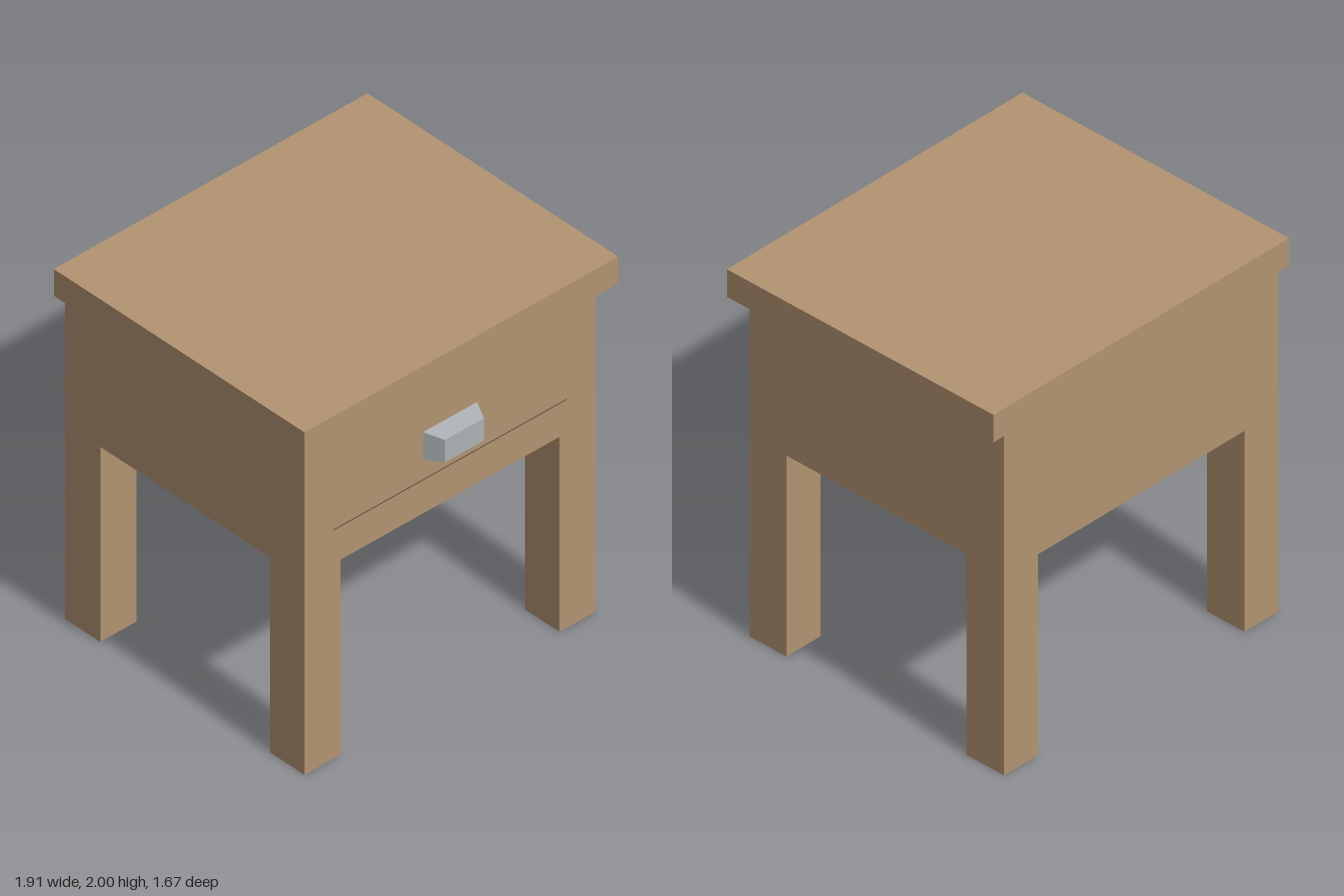
import * as THREE from 'three';

export function createModel() {
  const wood = new THREE.MeshStandardMaterial({ name: 'wood', color: 0xb29471 });
  const metal = new THREE.MeshStandardMaterial({ name: 'metal', color: 0xacb1b5 });
  const seamBrown = new THREE.MeshStandardMaterial({ name: 'seamBrown', color: 0x6e5840 });
  const group = new THREE.Group();
  group.name = 'nightstand';

  // Adds a box given its extents along each axis
  function box(name, material, [x0, x1], [y0, y1], [z0, z1]) {
    const mesh = new THREE.Mesh(new THREE.BoxGeometry(x1 - x0, y1 - y0, z1 - z0), material);
    mesh.position.set((x0 + x1) / 2, (y0 + y1) / 2, (z0 + z1) / 2);
    mesh.name = name;
    group.add(mesh);
    return mesh;
  }

  const back = -0.835, front = 0.74, side = 0.888, bodyBottom = 1.095, topBottom = 1.85;

  // Top overhangs the front and sides, flush at the back
  box('tableTop', wood, [-0.957, 0.957], [topBottom, 2], [back, 0.815]);
  box('body', wood, [-side, side], [bodyBottom, topBottom], [back, front]);

  // Four square legs, flush with the body
  for (const [end, z] of [['front', [0.512, front]], ['back', [back, -0.603]]]) {
    box(end + 'LeftLeg', wood, [0.668, side], [0, bodyBottom], z);
    box(end + 'RightLeg', wood, [-side, -0.668], [0, bodyBottom], z);
  }

  // Thin seam under the drawer
  box('drawerSeam', seamBrown, [-0.71, 0.71], [1.281, 1.287], [front - 0.002, front + 0.001]);

  // Drawer handle, tapered towards the front
  const handle = box('drawerHandle', metal, [-0.165, 0.165], [1.396, 1.551], [front, 0.835]);
  const p = handle.geometry.attributes.position;
  for (let i = 0; i < p.count; i++) {
    if (p.getZ(i) > 0) p.setXY(i, p.getX(i) * 0.72, p.getY(i) * 0.81);
  }
  handle.geometry = handle.geometry.toNonIndexed();
  handle.geometry.computeVertexNormals();

  return group;
}
